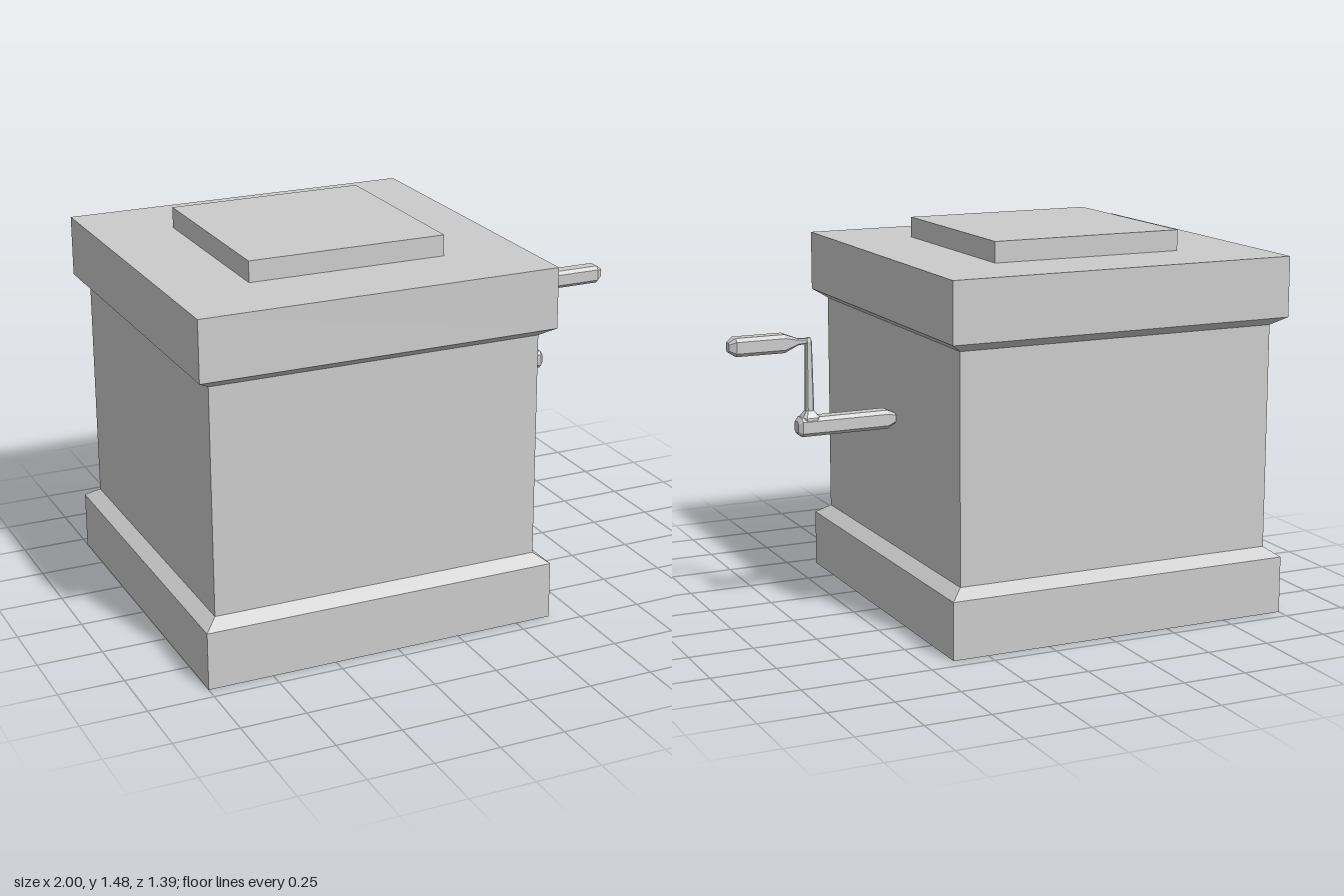
import * as THREE from 'three';

const material = new THREE.MeshStandardMaterial({ color: 0xcccccc, flatShading: true });

// Closed profile of [radius, height] pairs swept around y
function sweep(name, profile, sides) {
  const pts = profile.map(([r, h]) => new THREE.Vector2(r, h));
  const geometry = new THREE.LatheGeometry(pts, sides, Math.PI / sides);
  const mesh = new THREE.Mesh(geometry, material);
  mesh.name = name;
  return mesh;
}

// Square block: profile holds half-widths
function squareBlock(name, profile) {
  return sweep(name, profile.map(([w, h]) => [w * Math.SQRT2, h]), 4);
}

// Rod with a square section and bevelled corners
function bevelledRod(name, profile) {
  const mesh = sweep(name, profile, 8);
  const pos = mesh.geometry.attributes.position;
  const big = Math.cos(Math.PI / 8), small = Math.sin(Math.PI / 8);
  for (let i = 0; i < pos.count; i++) {
    const x = pos.getX(i), z = pos.getZ(i);
    const wide = Math.abs(x) > Math.abs(z);
    pos.setX(i, wide ? x / big : x * 0.62 / small);
    pos.setZ(i, wide ? z * 0.62 / small : z / big);
  }
  mesh.geometry.computeVertexNormals();
  return mesh;
}

export function createModel() {
  const model = new THREE.Group();
  model.name = 'crankBox';

  // Box with a plinth and a matching cornice
  const box = squareBlock('boxBody', [
    [0, 0], [0.695, 0], [0.695, 0.222], [0.645, 0.258],
    [0.645, 1.13], [0.695, 1.163], [0.695, 1.395], [0, 1.395],
  ]);
  box.position.x = -0.305;

  // Raised lid
  const lid = new THREE.Mesh(new THREE.BoxGeometry(0.77, 0.08, 0.776), material);
  lid.name = 'lid';
  lid.position.set(-0.305, 1.435, 0);
  model.add(box, lid);

  // Crank: axle, arm and grip share one plane
  const crank = new THREE.Group();
  crank.name = 'crank';
  crank.position.z = -0.035;

  const axle = bevelledRod('crankAxle', [
    [0, 0.335], [0.018, 0.335], [0.036, 0.375], [0.036, 0.722], [0.022, 0.736], [0, 0.736],
  ]);
  axle.rotation.z = -Math.PI / 2;
  axle.position.y = 0.768;

  const arm = bevelledRod('crankArm', [
    [0, 0.78], [0.034, 0.78], [0.034, 0.803], [0.016, 0.828], [0.012, 1.09], [0.008, 1.105], [0, 1.105],
  ]);
  arm.position.x = 0.684;

  const grip = bevelledRod('crankGrip', [
    [0, 0.675], [0.009, 0.675], [0.012, 0.725], [0.035, 0.785],
    [0.035, 0.975], [0.018, 1], [0, 1],
  ]);
  grip.rotation.z = -Math.PI / 2;
  grip.position.y = 1.093;

  crank.add(axle, arm, grip);
  model.add(crank);
  return model;
}
